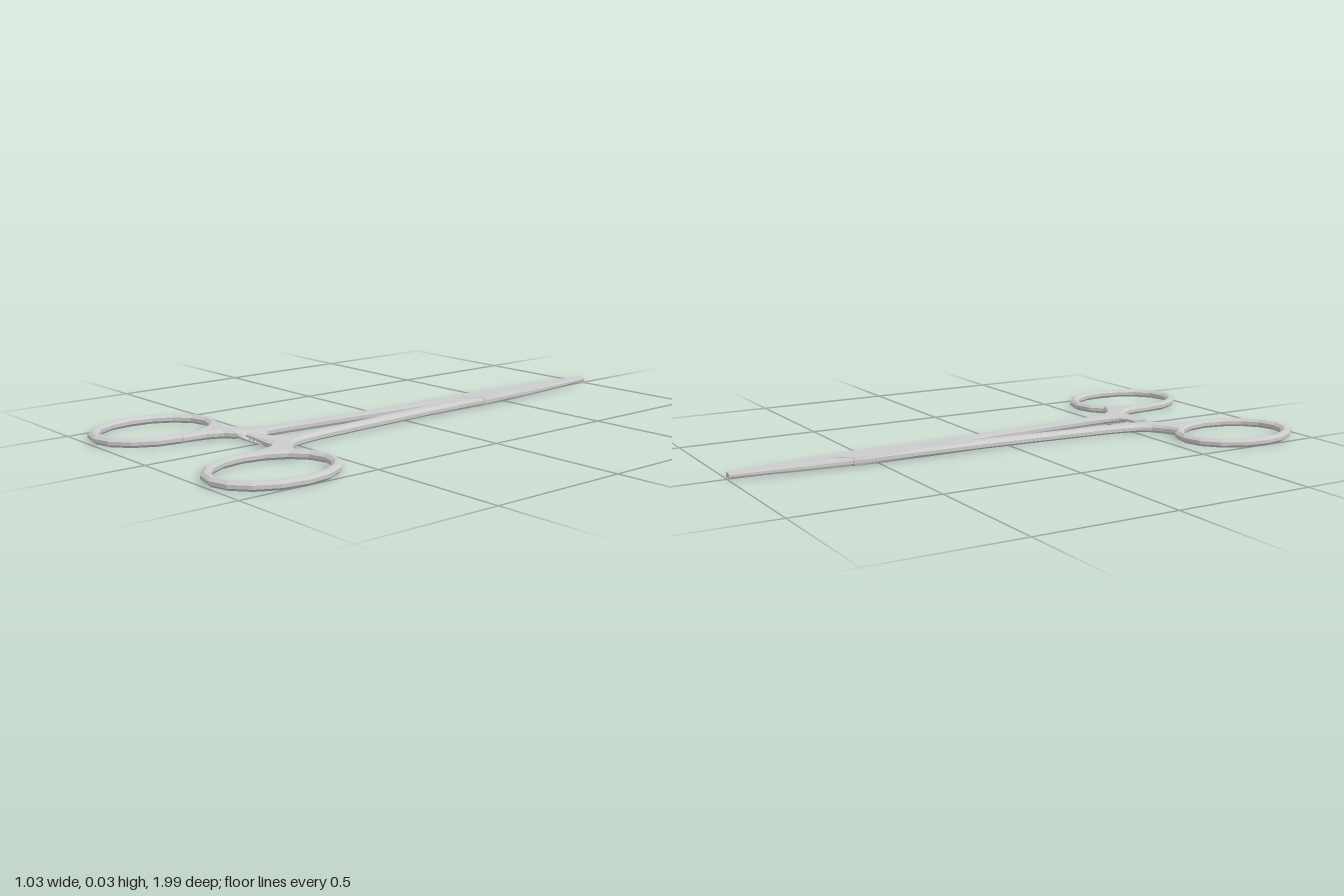
import * as THREE from 'three';

const steel = new THREE.MeshStandardMaterial({ color: 0xcccccc, flatShading: true });

// Bar with chamfered edges. Each row is one cross-section:
// [ax, az, bx, bz, yLow, yHigh, chamfer at a, chamfer at b] (chamfers as a share of the width).
// Faces point outward when (b - a) x up is the direction of travel.
function loft(name, rows, closed = false) {
  const pos = [], idx = [], n = 8;
  for (const [ax, az, bx, bz, y0, y1, ca, cb] of rows) {
    const k = (y1 - y0) * 0.3;
    const put = (t, y) => pos.push(ax + (bx - ax) * t, y, az + (bz - az) * t);
    put(0, y0 + k); put(ca, y0); put(1 - cb, y0); put(1, y0 + k);
    put(1, y1 - k); put(1 - cb, y1); put(ca, y1); put(0, y1 - k);
  }
  const count = rows.length;
  for (let i = 0; i < (closed ? count : count - 1); i++) {
    const p = i * n, q = ((i + 1) % count) * n;
    for (let j = 0; j < n; j++) {
      const m = (j + 1) % n;
      idx.push(p + j, p + m, q + j, p + m, q + m, q + j);
    }
  }
  if (!closed) {
    const e = (count - 1) * n;
    for (let j = 1; j < n - 1; j++) idx.push(0, j + 1, j, e, e + j, e + j + 1);
  }
  const indexed = new THREE.BufferGeometry();
  indexed.setAttribute('position', new THREE.Float32BufferAttribute(pos, 3));
  indexed.setIndex(idx);
  const geo = indexed.toNonIndexed();
  geo.computeVertexNormals();
  const mesh = new THREE.Mesh(geo, steel);
  mesh.name = name;
  return mesh;
}

// Mirror across x = 0, swapping both edges so the faces stay outward
const mirror = rows => rows.map(([ax, az, bx, bz, y0, y1, ca, cb]) =>
  [-bx, bz, -ax, az, y0, y1, cb, ca]);

// Arm from the joint down to the shoulder of the finger ring (the -x side)
const arm = [
  [-0.067, -0.10, -0.017, -0.10, 0.003, 0.032, 0.35, 0.1],
  [-0.085, 0.19, -0.042, 0.19, 0.003, 0.032, 0.38, 0.12],
  [-0.101, 0.40, -0.057, 0.40, 0.003, 0.032, 0.38, 0.12],
  [-0.108, 0.45, -0.060, 0.45, 0.003, 0.032, 0.34, 0.12],
  [-0.122, 0.515, -0.059, 0.500, 0.003, 0.032, 0.25, 0.12],
  [-0.145, 0.553, -0.075, 0.550, 0.003, 0.032, 0.2, 0.1],
  [-0.185, 0.580, -0.085, 0.577, 0.003, 0.032, 0.15, 0.1],
  [-0.236, 0.603, -0.092, 0.604, 0.003, 0.032, 0.1, 0.12],
  [-0.206, 0.645, -0.130, 0.630, 0.003, 0.032, 0.15, 0.2],
  [-0.186, 0.690, -0.152, 0.680, 0.003, 0.032, 0.28, 0.28],
  [-0.174, 0.770, -0.157, 0.765, 0.005, 0.030, 0.3, 0.3],
];

// Outer half: jaw, wide joint plate with slanted ends, arm
const outerHalf = [
  [-0.0065, -1.00, 0.008, -1.00, 0.009, 0.026, 0, 0.2],
  [-0.0065, -0.90, 0.022, -0.90, 0.008, 0.027, 0, 0.15],
  [-0.0065, -0.74, 0.038, -0.74, 0.006, 0.029, 0, 0.1],
  [-0.004, -0.640, 0.049, -0.60, 0.004, 0.031, 0, 0.08],
  [-0.053, -0.588, 0.054, -0.50, 0.003, 0.032, 0.03, 0.06],
  [-0.058, -0.36, 0.058, -0.385, 0.003, 0.032, 0.06, 0.03],
  [-0.060, -0.32, -0.001, -0.337, 0.003, 0.032, 0.12, 0.05],
  ...arm,
];

// Inner half: jaw, slim neck passing through the plate, arm
const innerHalf = [
  [-0.022, -1.00, -0.0065, -1.00, 0.009, 0.026, 0.2, 0],
  [-0.030, -0.90, -0.0065, -0.90, 0.008, 0.027, 0.15, 0],
  [-0.044, -0.74, -0.0065, -0.74, 0.006, 0.029, 0.1, 0],
  [-0.051, -0.600, -0.005, -0.646, 0.004, 0.030, 0.08, 0],
  [-0.040, -0.52, 0.000, -0.54, 0.010, 0.025, 0.1, 0.1],
  [0.000, -0.42, 0.045, -0.44, 0.010, 0.025, 0.1, 0.1],
  [0.001, -0.328, 0.058, -0.374, 0.003, 0.032, 0.05, 0.1],
  ...mirror(arm),
];

// Finger ring: faceted oval band
function ring(name, side) {
  const rows = [], sides = 16;
  for (let i = 0; i < sides; i++) {
    const t = i / sides * Math.PI * 2, c = Math.cos(t), s = Math.sin(t);
    rows.push([side * 0.335 + c * 0.150, 0.768 + s * 0.191,
      side * 0.337 + c * 0.178, 0.768 + s * 0.225, 0.003, 0.032, 0.32, 0.32]);
  }
  return loft(name, rows, true);
}

// Locking bars: each runs from its shoulder along x, overlapping in height
const upperBar = [
  [0.062, 0.47, 0.100, 0.600, 0.004, 0.031, 0.1, 0.1],
  [0.052, 0.51, 0.075, 0.604, 0.005, 0.031, 0.1, 0.1],
  [0.036, 0.535, 0.040, 0.604, 0.010, 0.031, 0.12, 0.12],
  [0.012, 0.548, 0.012, 0.603, 0.016, 0.031, 0.15, 0.15],
  [-0.045, 0.55, -0.045, 0.600, 0.018, 0.031, 0.15, 0.15],
];
const lowerBar = [
  [-0.100, 0.600, -0.070, 0.47, 0.004, 0.030, 0.1, 0.1],
  [-0.080, 0.604, -0.058, 0.505, 0.004, 0.022, 0.1, 0.1],
  [-0.045, 0.602, -0.045, 0.530, 0.004, 0.016, 0.12, 0.12],
  [0.030, 0.600, 0.030, 0.552, 0.004, 0.015, 0.18, 0.18],
];

export function createModel() {
  const model = new THREE.Group();
  model.name = 'lockingForceps';
  model.add(
    loft('outerHalf', outerHalf),
    loft('innerHalf', innerHalf),
    ring('leftFingerRing', 1),
    ring('rightFingerRing', -1),
    loft('upperLockingBar', upperBar),
    loft('lowerLockingBar', lowerBar),
  );

  // Slanted teeth between the locking bars
  const teeth = new THREE.Group();
  teeth.name = 'ratchetTeeth';
  for (let i = 0; i < 3; i++) {
    const tooth = new THREE.Mesh(new THREE.BoxGeometry(0.012, 0.004, 0.042), steel);
    tooth.name = 'ratchetTooth';
    tooth.position.set(-0.025 + i * 0.02, 0.0165, 0.576);
    tooth.rotation.z = 0.35;
    teeth.add(tooth);
  }
  model.add(teeth);
  return model;
}
